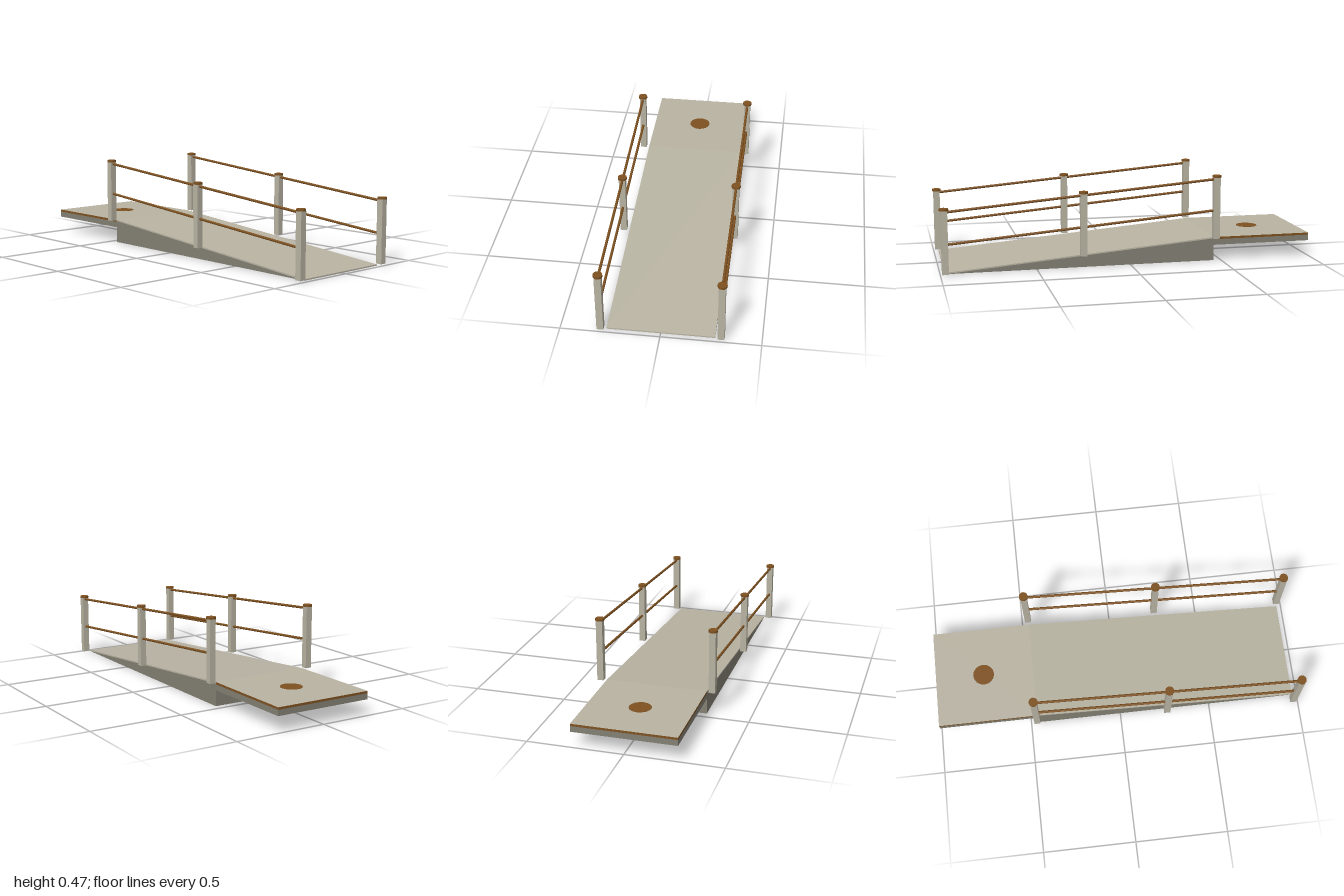
import * as THREE from 'three';

const material = (name, color) => {
  const m = new THREE.MeshStandardMaterial({ color });
  m.name = name;
  return m;
};

export function createModel() {
  const concrete = material('pale concrete', 0xb8b3a2);
  const base = material('dark concrete', 0x838073);
  const wood = material('brown trim', 0x7e5120);

  const group = new THREE.Group();
  const add = (name, geometry, mat, x = 0, y = 0, z = 0) => {
    const mesh = new THREE.Mesh(geometry, mat);
    mesh.name = name;
    mesh.position.set(x, y, z);
    group.add(mesh);
    return mesh;
  };

  const width = 0.54, front = 0.975, back = -0.46, rise = 0.12, lip = 0.007;
  const slope = z => rise * (front - z) / (front - back);

  // Side profile given as [z, y] points, extruded across the width
  const across = points => {
    const shape = new THREE.Shape(points.map(([z, y]) => new THREE.Vector2(z, y)));
    return new THREE.ExtrudeGeometry(shape, { depth: width, bevelEnabled: false })
      .rotateY(-Math.PI / 2).translate(width / 2, 0, 0);
  };

  // Sloping ramp: dark wedge with a thin pale deck
  add('rampBase', across([[front, 0], [back, 0], [back, rise]]), base);
  add('rampDeck', across([[front, 0], [front, lip], [back, rise + lip], [back, rise]]), concrete);

  // Landing: dark slab, brown edge layer with a pale top, round inlay
  const length = 1 + back, middle = (back - 1) / 2;
  add('landingSlab', new THREE.BoxGeometry(width, 0.031, length), base, 0, 0.0995, middle);
  add('landingTop', new THREE.BoxGeometry(width, 0.012, length),
    [wood, wood, concrete, wood, wood, wood], 0, 0.121, middle);
  add('landingInlay', new THREE.CylinderGeometry(0.058, 0.058, 0.002, 16), wood, 0, 0.1275, -0.735);

  // Railings on both sides
  const postSize = 0.034, postHeight = 0.33;
  const stations = [front, 0.257, -0.462];
  for (const side of [-1, 1]) {
    const x = side * 0.3;
    stations.forEach((z, i) => {
      const foot = slope(z) + lip;
      add('post', new THREE.BoxGeometry(postSize, postHeight, postSize), concrete, x, foot + postHeight / 2, z);
      add('postCap', new THREE.CylinderGeometry(0.024, 0.024, 0.011, 12), wood, x, foot + postHeight + 0.0055, z);
      if (i === stations.length - 1) return;
      // Two rails span the gap to the next post
      const z0 = z - postSize / 2, z1 = stations[i + 1] + postSize / 2;
      for (const height of [0.16, 0.328]) {
        const a = new THREE.Vector3(x, slope(z0) + height, z0);
        const b = new THREE.Vector3(x, slope(z1) + height, z1);
        const rail = add('rail', new THREE.CylinderGeometry(0.0068, 0.0068, a.distanceTo(b), 10), wood);
        rail.position.copy(a).lerp(b, 0.5);
        rail.quaternion.setFromUnitVectors(new THREE.Vector3(0, 1, 0), b.clone().sub(a).normalize());
      }
    });
  }
  return group;
}
